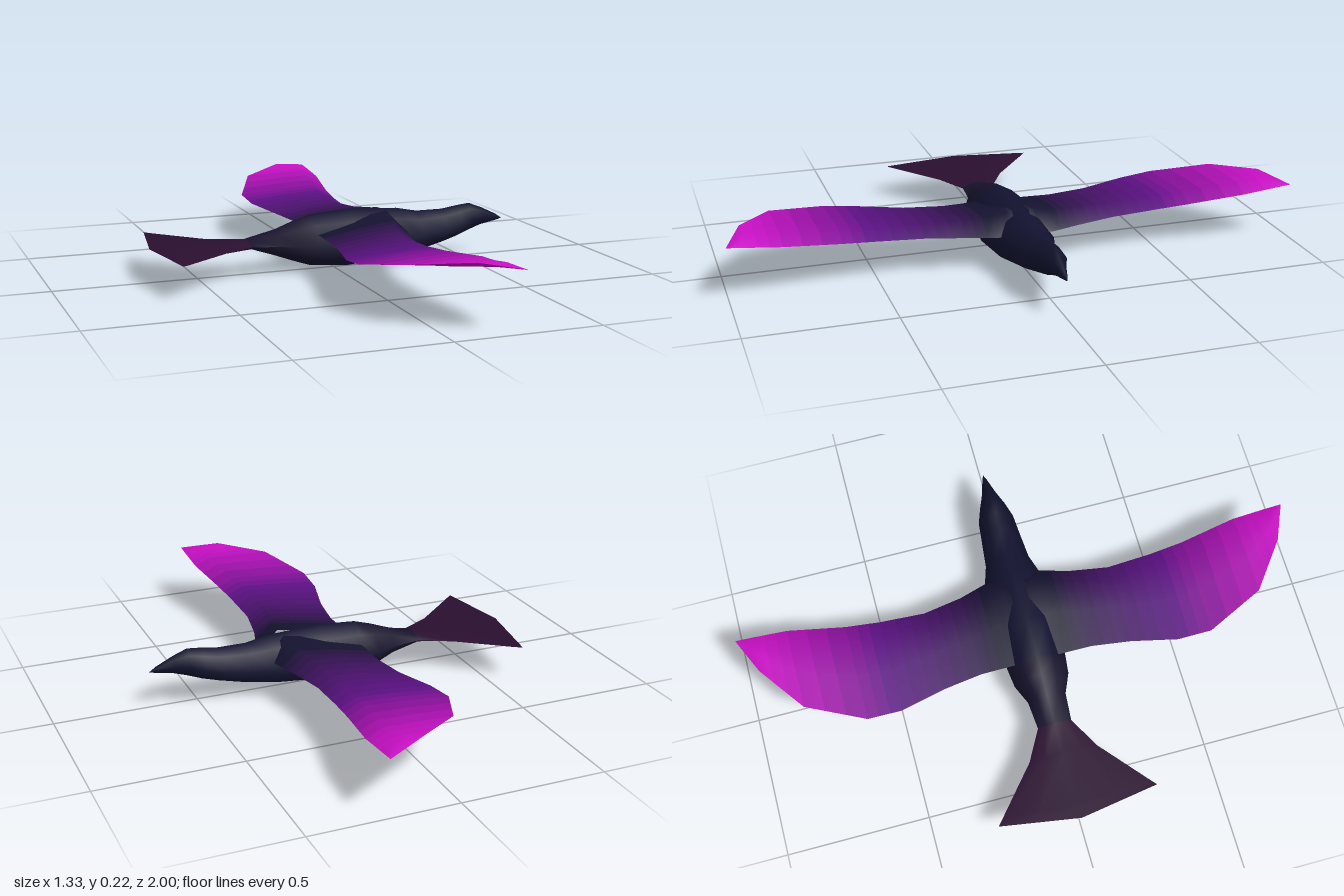
import * as THREE from 'three';
import { toCreasedNormals } from 'three/addons/utils/BufferGeometryUtils.js';

// Skins a row of closed rings, then cuts it into coloured bands that share smooth normals
function loft(name, rings, flip, crease, bands) {
  const n = rings[0].length;
  const index = [];
  for (let i = 0; i < rings.length - 1; i++) {
    for (let j = 0; j < n; j++) {
      const a = i * n + j, b = i * n + (j + 1) % n, c = a + n, d = b + n;
      if (flip) index.push(a, c, b, b, c, d);
      else index.push(a, b, c, b, d, c);
    }
  }
  const base = new THREE.BufferGeometry();
  base.setAttribute('position', new THREE.Float32BufferAttribute(rings.flat(2), 3));
  base.setIndex(index);
  const skin = toCreasedNormals(base, crease);

  const group = new THREE.Group();
  group.name = name;
  const stride = n * 6 * 3;
  for (const { label, from, to, color } of bands) {
    const geometry = new THREE.BufferGeometry();
    for (const key of ['position', 'normal']) {
      const part = skin.getAttribute(key).array.slice(from * stride, to * stride);
      geometry.setAttribute(key, new THREE.BufferAttribute(part, 3));
    }
    const mesh = new THREE.Mesh(geometry, new THREE.MeshStandardMaterial({ color }));
    mesh.name = label;
    group.add(mesh);
  }
  return group;
}

// Body, head and tail: x, top, bottom, half width, forward sweep of the sides
const BODY = [
  [-0.665, 0.12, 0.119, 0.28, 0.16],
  [-0.62, 0.121, 0.115, 0.262, 0.08],
  [-0.43, 0.121, 0.104, 0.12, 0],
  [-0.32, 0.128, 0.097, 0.06, 0],
  [-0.22, 0.156, 0.063, 0.068, 0],
  [-0.15, 0.182, 0.037, 0.098, 0],
  [-0.09, 0.2, 0.017, 0.105, 0],
  [0.05, 0.21, 0.004, 0.12, 0],
  [0.24, 0.2, 0.021, 0.105, 0],
  [0.32, 0.184, 0.035, 0.08, 0],
  [0.42, 0.184, 0.06, 0.07, 0],
  [0.48, 0.193, 0.078, 0.064, 0],
  [0.53, 0.198, 0.098, 0.046, 0],
  [0.58, 0.179, 0.115, 0.026, 0],
  [0.64, 0.15, 0.126, 0.009, 0],
  [0.665, 0.133, 0.133, 0, 0],
];
// Cross-section: side and height as fractions, starting at the back ridge
const SECTION = [[0, 1], [-0.55, 0.83], [-1, 0.47], [-0.82, 0.2], [0, 0], [0.82, 0.2], [1, 0.47], [0.55, 0.83]];

function createBody() {
  const rings = BODY.map(([x, top, bottom, w, sweep]) => SECTION.map(([s, v]) =>
    [x + sweep * Math.abs(s) * w, bottom + v * (top - bottom), s * w]));
  return loft('bird', rings, true, 1.3, [
    { label: 'tail', from: 0, to: 3, color: 0x2a0f30 },
    { label: 'rump', from: 3, to: 6, color: 0x17122c },
    { label: 'body', from: 6, to: 10, color: 0x121230 },
    { label: 'head', from: 10, to: 15, color: 0x10122c },
  ]);
}

// Wing stations: z, leading x and y, ridge y, trailing x and y, underside y
const WING = [
  [0.03, 0.25, 0.13, 0.2, -0.085, 0.14, 0.08],
  [0.1, 0.245, 0.13, 0.187, -0.085, 0.14, 0.1],
  [0.2, 0.215, 0.13, 0.174, -0.085, 0.138, 0.118],
  [0.34, 0.19, 0.135, 0.168, -0.105, 0.14, 0.126],
  [0.5, 0.195, 0.146, 0.174, -0.145, 0.15, 0.138],
  [0.62, 0.205, 0.156, 0.184, -0.148, 0.163, 0.15],
  [0.82, 0.235, 0.181, 0.207, -0.06, 0.2, 0.184],
  [0.94, 0.237, 0.194, 0.214, 0.1, 0.22, 0.202],
  [1, 0.237, 0.2, 0.2, 0.235, 0.2, 0.2],
];
const STEPS = 3;

function createWing(name, side) {
  const rings = [];
  const bands = [];
  const root = new THREE.Color(0x14122f), middle = new THREE.Color(0x5c1084), tip = new THREE.Color(0xc80fc4);
  for (let i = 0; i < WING.length; i++) {
    for (let k = 0; k < (i < WING.length - 1 ? STEPS : 1); k++) {
      const next = WING[Math.min(i + 1, WING.length - 1)];
      const [z, lx, ly, ridge, tx, ty, under] = WING[i].map((v, m) => v + (next[m] - v) * k / STEPS);
      const chord = lx - tx;
      const rx = lx - Math.min(0.06, chord * 0.3);
      rings.push([
        [lx, ly, side * z],
        [rx, ridge, side * z],
        [tx + chord * 0.45, ridge * 0.6 + ty * 0.4 + 0.004 * (1 - z), side * z],
        [tx, ty, side * z],
        [tx + chord * 0.45, under, side * z],
        [rx, (under + ly) / 2 - 0.003 * (1 - z), side * z],
      ]);
      // Colour deepens from dark at the shoulder to bright at the tip
      if (i < WING.length - 1) {
        const t = Math.max(0, (z - 0.1) / 0.4);
        const color = t < 1 ? root.clone().lerp(middle, t)
          : middle.clone().lerp(tip, Math.min(1, (z - 0.5) / 0.4));
        bands.push({ label: name + 'Band' + bands.length, from: bands.length, to: bands.length + 1, color });
      }
    }
  }
  return loft(name, rings, side < 0, 1.3, bands);
}

export function createModel() {
  const model = new THREE.Group();
  model.name = 'flyingBird';
  model.add(createBody(), createWing('nearWing', 1), createWing('farWing', -1));
  return model;
}
